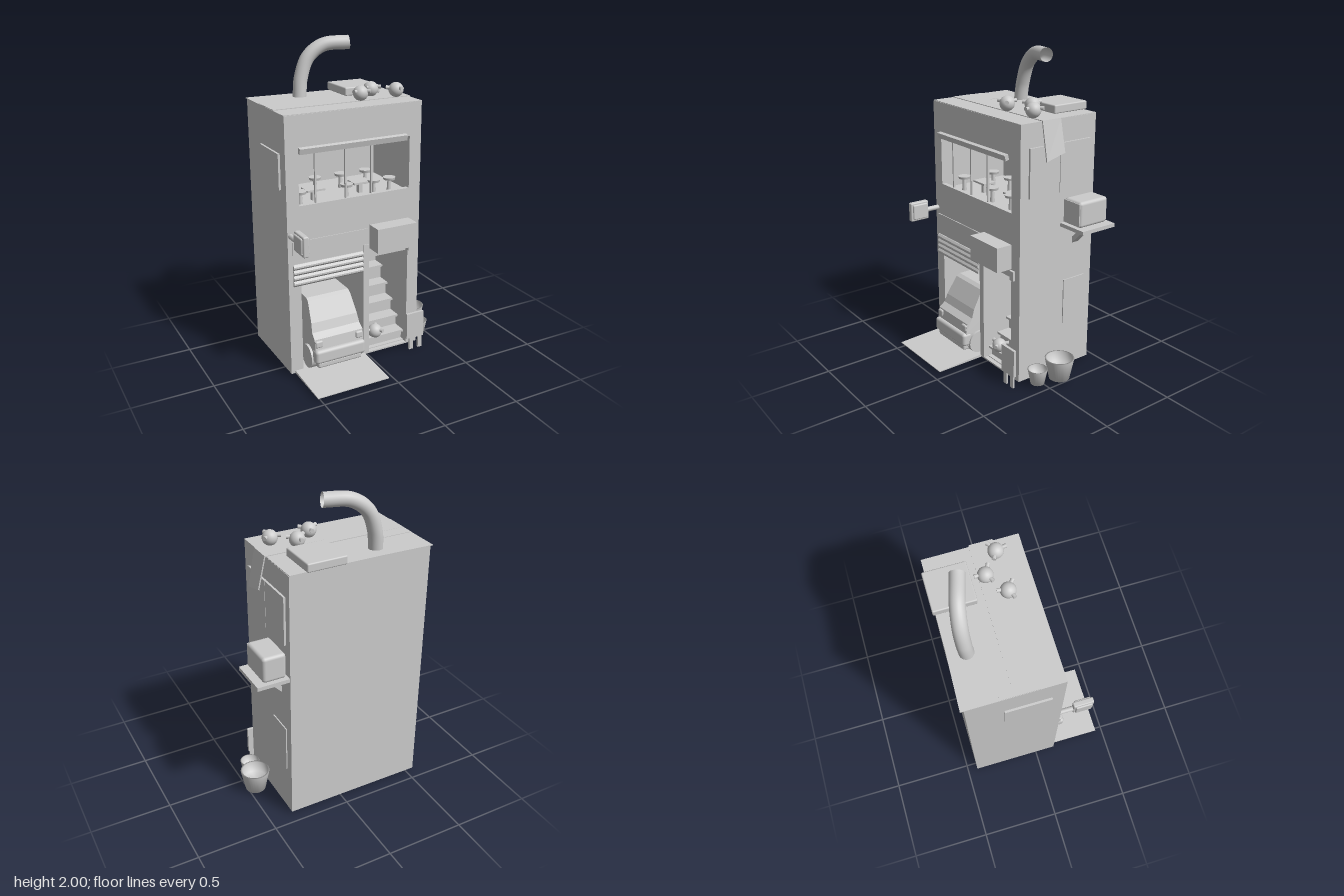
import * as THREE from 'three';
import { RoundedBoxGeometry } from 'three/addons/geometries/RoundedBoxGeometry.js';

const mat = new THREE.MeshStandardMaterial({ color: 0xcccccc, side: THREE.DoubleSide });

export function createModel() {
  const root = new THREE.Group();
  const add = (name, geo, x = 0, y = 0, z = 0, parent = root) => {
    const m = new THREE.Mesh(geo, mat);
    m.name = name;
    m.position.set(x, y, z);
    parent.add(m);
    return m;
  };
  // Box given by its limits on each axis
  const box = (name, x0, x1, y0, y1, z0, z1, parent = root) =>
    add(name, new THREE.BoxGeometry(x1 - x0, y1 - y0, z1 - z0),
      (x0 + x1) / 2, (y0 + y1) / 2, (z0 + z1) / 2, parent);
  const rect = (P, x0, x1, y0, y1) => {
    const p = new P();
    p.moveTo(x0, y0); p.lineTo(x1, y0); p.lineTo(x1, y1); p.lineTo(x0, y1); p.closePath();
    return p;
  };
  const extrude = (shape, depth) => new THREE.ExtrudeGeometry(shape, { depth, bevelEnabled: false });
  const poly = (pts) => new THREE.Shape(pts.map((p) => new THREE.Vector2(...p)));
  // Profile drawn as (z, y), spread along x from x0 to x1
  const sideProfile = (pts, x0, x1) => {
    const g = extrude(poly(pts), x1 - x0);
    g.rotateY(-Math.PI / 2);
    g.scale(1, 1, 1);
    g.translate(x1, 0, 0);
    return g;
  };

  // Building shell: front wall with three openings, plain sides and back
  const front = rect(THREE.Shape, -0.545, 0.355, 0.02, 1.635);
  front.holes.push(
    rect(THREE.Path, -0.465, -0.045, 0.03, 0.62),
    rect(THREE.Path, -0.005, 0.275, 0.03, 0.75),
    rect(THREE.Path, -0.465, 0.275, 1.1, 1.43));
  add('frontWall', extrude(front, 0.03), 0, 0, 0.1);
  box('leftWall', -0.545, -0.52, 0.02, 1.635, -0.435, 0.1);
  box('rightWall', 0.33, 0.355, 0.02, 1.635, -0.435, 0.1);
  box('backWall', -0.52, 0.33, 0.02, 1.635, -0.435, -0.41);
  box('groundFloor', -0.52, 0.33, 0.02, 0.035, -0.41, 0.1);
  box('roofSlab', -0.52, 0.33, 1.61, 1.635, -0.41, 0.1);
  box('upperFloor', -0.52, 0.33, 1.03, 1.05, -0.41, 0.1);
  box('garageCeiling', -0.52, 0.33, 0.78, 0.8, -0.41, 0.1);
  box('dividingWall', -0.045, -0.005, 0.035, 0.78, -0.41, 0.135);
  box('stairSideWall', 0.275, 0.33, 0.035, 0.78, -0.41, 0.1);

  // Roof sheets and the strip that hangs over the right edge
  const sheet = extrude(poly([[-0.547, 0.455], [-0.2, 0.442], [0.352, 0.436], [0.357, -0.13], [-0.547, -0.125]]), 0.004);
  sheet.rotateX(-Math.PI / 2);
  add('roofSheet', sheet, 0, 1.635, 0);
  box('roofStrip', -0.545, 0.36, 1.639, 1.643, -0.16, -0.02);
  box('roofPatch', -0.545, -0.335, 1.639, 1.642, -0.24, -0.16);
  const flap = extrude(poly([[0.355, 1.643], [0.363, 1.643], [0.408, 1.412], [0.4, 1.408]]), 0.135);
  const fp = flap.attributes.position;
  for (let i = 0; i < fp.count; i++) // slanted lower hem
    if (fp.getY(i) < 1.5 && fp.getZ(i) < 0.05) fp.setY(i, fp.getY(i) + 0.035);
  flap.computeVertexNormals();
  add('hangingFlap', flap, 0, 0, -0.155);
  add('roofHatch', new RoundedBoxGeometry(0.245, 0.052, 0.253, 2, 0.008), 0.132, 1.665, -0.328);

  // Chimney pipe
  const V = (x, y, z) => new THREE.Vector3(x, y, z);
  const pipe = new THREE.CatmullRomCurve3([
    V(-0.24, 1.625, -0.335), V(-0.225, 1.75, -0.342), V(-0.175, 1.875, -0.34),
    V(-0.08, 1.945, -0.322), V(0.075, 1.957, -0.28)]);
  add('chimneyPipe', new THREE.TubeGeometry(pipe, 40, 0.043, 24));

  // Small round creatures with three knobs
  const creature = (x, y, z, turn) => {
    const g = new THREE.Group();
    g.name = 'roundCreature';
    g.position.set(x, y, z);
    g.rotation.y = turn;
    add('body', new THREE.SphereGeometry(0.046, 24, 16), 0, 0, 0, g);
    for (let i = 0; i < 3; i++) {
      const a = (i * 2 * Math.PI) / 3;
      const k = add('knob', new THREE.CylinderGeometry(0.013, 0.01, 0.026, 12),
        Math.sin(a) * 0.049, 0.014, Math.cos(a) * 0.049, g);
      k.rotation.set(Math.PI / 2, 0, -a);
    }
    root.add(g);
  };
  creature(0.022, 1.687, -0.028, 0.9);
  creature(0.144, 1.687, -0.122, 1.05);
  creature(0.268, 1.687, -0.028, 0.1);
  creature(0.075, 0.135, 0.07, 0.5);

  // Upper window: awning roll, mullions, counter and stools
  const awning = box('windowAwning', -0.465, 0.245, 1.412, 1.447, 0.13, 0.155);
  awning.rotation.x = 0.25;
  for (const x of [-0.352, -0.155, 0.018]) box('mullion', x - 0.005, x + 0.005, 1.09, 1.43, 0.105, 0.118);
  for (const [x, z] of [[-0.38, -0.22], [-0.2, -0.22], [-0.02, -0.22], [0.16, -0.22], [-0.4, 0], [-0.09, 0], [0.1, 0], [0.21, 0]]) {
    add('stoolSeat', new THREE.CylinderGeometry(0.04, 0.036, 0.016, 20), x, 1.138, z);
    add('stoolLeg', new THREE.CylinderGeometry(0.01, 0.016, 0.09, 10), x, 1.09, z);
  }
  for (const x of [-0.28, 0.04]) {
    box('tableTop', x - 0.06, x + 0.06, 1.115, 1.127, -0.12, -0.03);
    box('tableLeg', x - 0.012, x + 0.012, 1.05, 1.115, -0.09, -0.06);
  }

  // Side window panels
  box('rightWindowFront', 0.355, 0.368, 1.197, 1.495, -0.153, 0.07);
  box('rightWindowBack', 0.355, 0.368, 1.197, 1.495, -0.39, -0.157);
  box('rightLowerPanel', 0.355, 0.362, 0.322, 0.618, -0.38, -0.212);
  box('leftWindow', -0.558, -0.545, 1.19, 1.405, -0.22, 0.057);

  // Wall shelf with strut and a rounded set on it
  box('wallShelf', 0.355, 0.555, 0.977, 1.0, -0.432, -0.177);
  add('shelfStrut', extrude(poly([[0.355, 0.89], [0.355, 0.85], [0.48, 0.977], [0.445, 0.977]]), 0.05), 0, 0, -0.325);
  add('shelfSet', new RoundedBoxGeometry(0.145, 0.16, 0.22, 4, 0.02), 0.438, 1.08, -0.303);
  box('setFrontFrame', 0.37, 0.505, 1.01, 1.15, -0.196, -0.19);

  // Hanging sign on the left front edge
  add('signRod', new THREE.CylinderGeometry(0.016, 0.016, 0.11, 12), -0.525, 0.925, 0.18).rotation.x = Math.PI / 2;
  add('hangingSign', new RoundedBoxGeometry(0.035, 0.125, 0.13, 2, 0.008), -0.523, 0.93, 0.28);
  add('hangingSignBorder', new RoundedBoxGeometry(0.055, 0.1, 0.105, 2, 0.008), -0.523, 0.93, 0.28);

  // Name board, roller shutter and box over the stair door
  box('nameBoard', -0.515, -0.015, 0.8, 0.885, 0.13, 0.136);
  for (let i = 0; i < 4; i++) {
    const y = 0.602 + i * 0.035;
    add('shutterSlat', sideProfile([[0.125, y], [0.136, y], [0.146, y + 0.012], [0.146, y + 0.022], [0.136, y + 0.035], [0.125, y + 0.035]], -0.515, -0.05));
  }
  box('doorBox', 0, 0.275, 0.75, 0.905, 0.1, 0.235);
  box('doorLintel', -0.005, 0.275, 0.68, 0.75, 0.08, 0.11);
  box('doorBracket', 0.275, 0.31, 0.685, 0.745, 0.13, 0.145);

  // Stair with projecting treads
  [0.09, 0.17, 0.26, 0.35, 0.45, 0.555].forEach((y, i) => {
    const z = 0.095 - i * 0.07;
    box('stairRiser', -0.005, 0.275, 0.035, y, z - 0.09, z - 0.025);
    box('stairTread', -0.005, 0.275, y, y + 0.014, z - 0.095, z);
  });

  // Garage: ramp and a van that peeks out
  add('ramp', sideProfile([[0.1, 0.02], [0.455, 0.018], [0.455, 0.023], [0.1, 0.038]], -0.52, -0.04));
  const van = sideProfile([[-0.3, 0.1], [0.2, 0.1], [0.215, 0.19], [0.205, 0.255], [0.165, 0.285],
    [0.145, 0.34], [0.075, 0.455], [0.05, 0.47], [-0.28, 0.47], [-0.3, 0.44]], -0.42, -0.09);
  const vp = van.attributes.position;
  for (let i = 0; i < vp.count; i++) { // sides lean in towards the roof
    const k = 1 - 0.13 * Math.max(0, (vp.getY(i) - 0.26) / 0.21);
    vp.setX(i, -0.255 + (vp.getX(i) + 0.255) * k);
  }
  van.computeVertexNormals();
  add('vanBody', van);
  add('vanBumper', new RoundedBoxGeometry(0.34, 0.09, 0.07, 3, 0.02), -0.255, 0.145, 0.205);
  add('vanLowerBumper', new RoundedBoxGeometry(0.3, 0.04, 0.06, 3, 0.012), -0.255, 0.085, 0.195);
  for (const x of [-0.405, -0.105]) {
    for (const z of [0.12, -0.2])
      add('vanWheel', new THREE.CylinderGeometry(0.075, 0.075, 0.06, 24), x, 0.112, z).rotation.z = Math.PI / 2;
    add('vanHeadlight', new RoundedBoxGeometry(0.05, 0.045, 0.03, 2, 0.01), x * 0.92 - 0.0204, 0.225, 0.205);
  }

  // Standing board on short legs
  const board = new THREE.Group();
  board.name = 'standingBoard';
  root.add(board);
  box('boardPanel', 0.25, 0.375, 0.08, 0.257, 0.167, 0.185, board);
  for (const x of [0.272, 0.338]) box('boardLeg', x, x + 0.028, 0, 0.08, 0.17, 0.184, board);

  // Flower pots
  const pot = (x, z, r, h) => add('flowerPot', new THREE.LatheGeometry([
    [0, 0], [r * 0.7, 0], [r, h], [r * 0.89, h], [r * 0.8, h * 0.5], [0, h * 0.5],
  ].map((p) => new THREE.Vector2(...p)), 32), x, 0.018, z);
  pot(0.455, -0.112, 0.092, 0.137);
  pot(0.425, 0.038, 0.062, 0.097);

  // Centre the depth on z = 0
  const b = new THREE.Box3().setFromObject(root);
  root.children.forEach((c) => { c.position.z -= (b.min.z + b.max.z) / 2; });
  return root;
}
